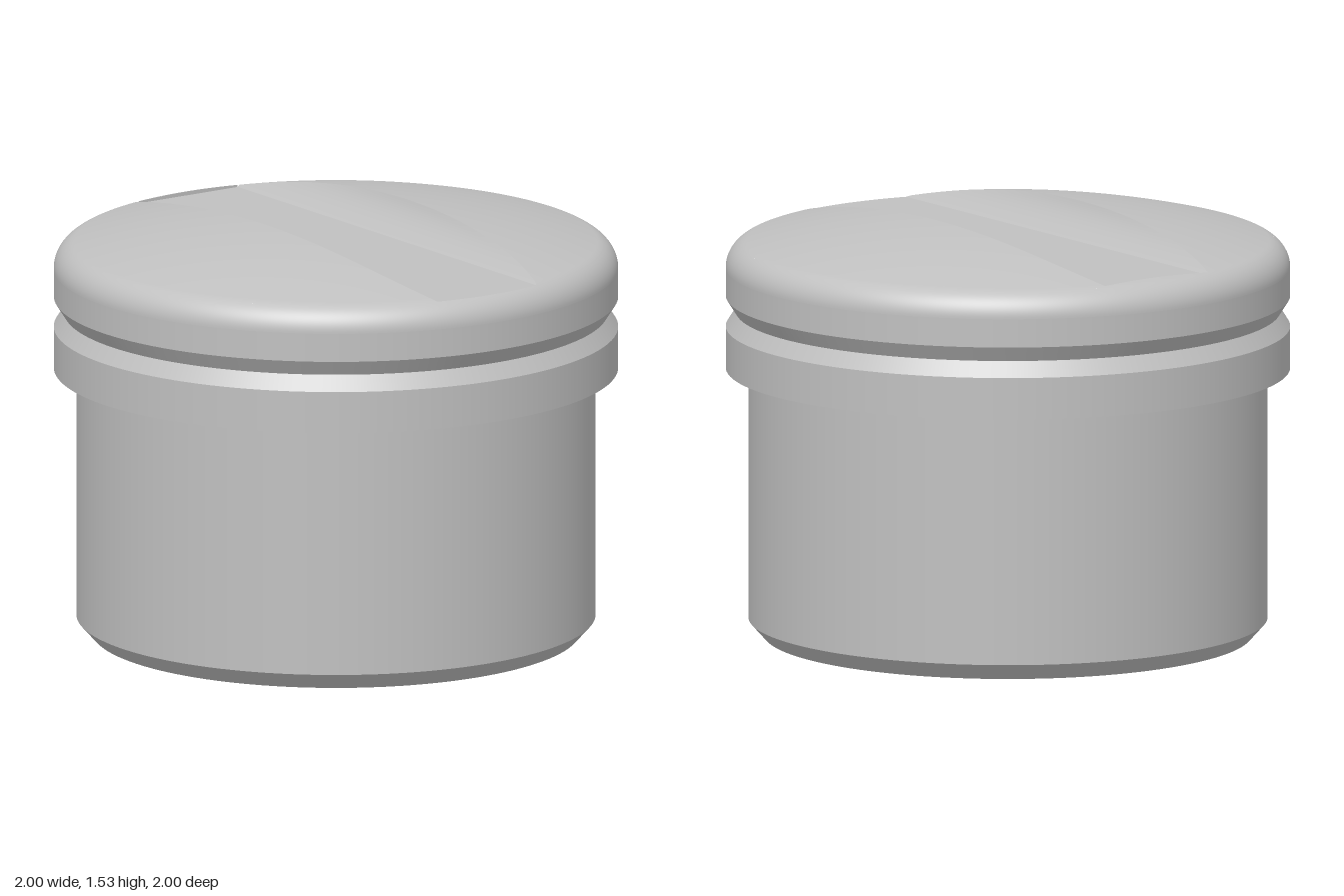
import * as THREE from 'three';
import { mergeGeometries } from 'three/addons/utils/BufferGeometryUtils.js';

const SEG = 128;
// domed top: large sphere cap blended into a rim fillet
const DOME_R = 3.59, DOME_Y = -2.05;
const FIL = 0.1, FIL_R = 0.9, FIL_Y = 1.322;
const BLEND_R = FIL_R + FIL * (FIL_R / (DOME_R - FIL));
// slot
const FLOOR = 1.41, HALF = 0.215, X0 = -0.905;
const RIM = FIL_R + Math.sqrt(FIL * FIL - (FLOOR - FIL_Y) ** 2); // radius where the top drops to the slot floor

const topY = (x, z) => {
  const r = Math.hypot(x, z);
  return r < BLEND_R
    ? DOME_Y + Math.sqrt(DOME_R ** 2 - r * r)
    : FIL_Y + Math.sqrt(Math.max(0, FIL ** 2 - (r - FIL_R) ** 2));
};
const topNormal = (x, y, z) => {
  const r = Math.hypot(x, z);
  if (r < BLEND_R) return new THREE.Vector3(x, y - DOME_Y, z).normalize();
  const k = (r - FIL_R) / r;
  return new THREE.Vector3(x * k, y - FIL_Y, z * k).normalize();
};
// concave slot flank: half width at a height
const flankZ = (y) => {
  const t = Math.max(0, (y - FLOOR) / 0.125);
  return HALF + 0.103 * (1.6 * t - 0.6 * t * t);
};
// where the flank breaks through the dome
const edgeZ = (x) => {
  let z = HALF;
  for (let i = 0; i < 30; i++) z = flankZ(topY(x, z));
  return z;
};
const chord = (x) => Math.sqrt(Math.max(0, RIM * RIM - x * x));
const lerp = THREE.MathUtils.lerp;
const ease = (u) => (1 - Math.cos(Math.PI * u)) / 2;

// grid surface from point(u, v)
function sheet(point, nu, nv, flip = false, onTop = false) {
  const pos = [], idx = [];
  for (let i = 0; i <= nu; i++)
    for (let j = 0; j <= nv; j++) pos.push(...point(i / nu, j / nv));
  const w = nv + 1;
  for (let i = 0; i < nu; i++)
    for (let j = 0; j < nv; j++) {
      const a = i * w + j, b = a + 1, c = a + w, d = c + 1;
      if (flip) idx.push(a, c, b, b, c, d);
      else idx.push(a, b, c, b, d, c);
    }
  const g = new THREE.BufferGeometry();
  g.setAttribute('position', new THREE.Float32BufferAttribute(pos, 3));
  g.setIndex(idx);
  g.computeVertexNormals();
  if (onTop) {
    const p = g.attributes.position;
    for (let i = 0; i < p.count; i++) {
      const n = topNormal(p.getX(i), p.getY(i), p.getZ(i));
      g.attributes.normal.setXYZ(i, n.x, n.y, n.z);
    }
  }
  return g;
}

// turned surface with a sharp edge at every profile point
function turned(profile) {
  const parts = [];
  for (let i = 0; i + 1 < profile.length; i++)
    parts.push(new THREE.LatheGeometry([profile[i], profile[i + 1]].map((p) => new THREE.Vector2(...p)), SEG));
  return mergeGeometries(parts);
}

export function createModel() {
  const group = new THREE.Group();
  const grey = new THREE.MeshStandardMaterial({ color: 0xc0c0c0 });
  grey.name = 'plain grey';
  const add = (name, geometry) => {
    const m = new THREE.Mesh(geometry, grey);
    m.name = name;
    group.add(m);
    return m;
  };

  // chamfered plug and grooved collar
  add('plugBody', turned([[0.866, 0], [0.92, 0.06], [0.92, 0.96]]));
  add('collar', turned([[0.92, 0.96], [1, 0.96], [1, 1.11], [0.965, 1.165], [1, 1.22], [1, FIL_Y]]));

  // rounded rim up to the slot floor height
  const endAngle = Math.acos((RIM - FIL_R) / FIL);
  const arc = [];
  for (let i = 0; i <= 16; i++) {
    const a = (endAngle * i) / 16;
    arc.push(new THREE.Vector2(FIL_R + FIL * Math.cos(a), FIL_Y + FIL * Math.sin(a)));
  }
  add('roundedRim', new THREE.LatheGeometry(arc, SEG));

  // dome halves and slot flanks, mirrored front to back
  const X1 = Math.sqrt(RIM * RIM - HALF * HALF);
  const domes = [], flanks = [];
  for (const s of [1, -1]) {
    domes.push(sheet((u, v) => {
      const x = lerp(X0, X1, ease(u));
      const e = edgeZ(x);
      const z = lerp(e, Math.max(e, chord(x)), 1 - (1 - v) ** 2);
      return [x, topY(x, z), s * z];
    }, 80, 32, s < 0, true));
    flanks.push(sheet((u, v) => {
      const x = lerp(X0, X1, ease(u));
      const y = lerp(FLOOR, topY(x, edgeZ(x)), v);
      return [x, y, s * flankZ(y)];
    }, 80, 8, s < 0));
  }
  // dome sliver behind the closed end of the slot
  domes.push(sheet((u, v) => {
    const x = lerp(-RIM, X0, u * u);
    const z = lerp(-1, 1, v) * chord(x);
    return [x, topY(x, z), z];
  }, 12, 32, false, true));
  add('dome', mergeGeometries(domes));
  add('slotFlanks', mergeGeometries(flanks));

  // slot floor, open at +x, with a low step at -x
  add('slotFloor', sheet((u, v) => {
    const z = lerp(-HALF, HALF, v);
    return [lerp(X0, chord(z), u), FLOOR, z];
  }, 1, 24));
  add('slotEnd', sheet((u, v) => {
    const z = lerp(-HALF, HALF, u);
    return [X0, lerp(FLOOR, topY(X0, z), v), z];
  }, 24, 1));

  // underside with a round bore and a rectangular pocket set slightly off axis
  const DEPTH = 0.6;
  const base = new THREE.Shape().absarc(0, 0, 0.866, 0, Math.PI * 2, false);
  base.holes.push(new THREE.Path().absarc(0, 0, 0.3, 0, Math.PI * 2, true));
  const tilt = 0.09;
  const corner = (r, w) => new THREE.Vector2(
    -r * Math.cos(tilt) + w * Math.sin(tilt), r * Math.sin(tilt) + w * Math.cos(tilt));
  base.holes.push(new THREE.Path([
    corner(0.33, -0.161), corner(0.33, 0.161), corner(0.715, 0.161), corner(0.715, -0.161)]));
  const underside = new THREE.ExtrudeGeometry(base, { depth: DEPTH, bevelEnabled: false, curveSegments: 64 });
  add('undersideWithHoles', underside.rotateX(-Math.PI / 2));
  add('holeCeiling', new THREE.CircleGeometry(0.85, 64).rotateX(Math.PI / 2).translate(0, DEPTH - 0.001, 0));

  return group;
}
